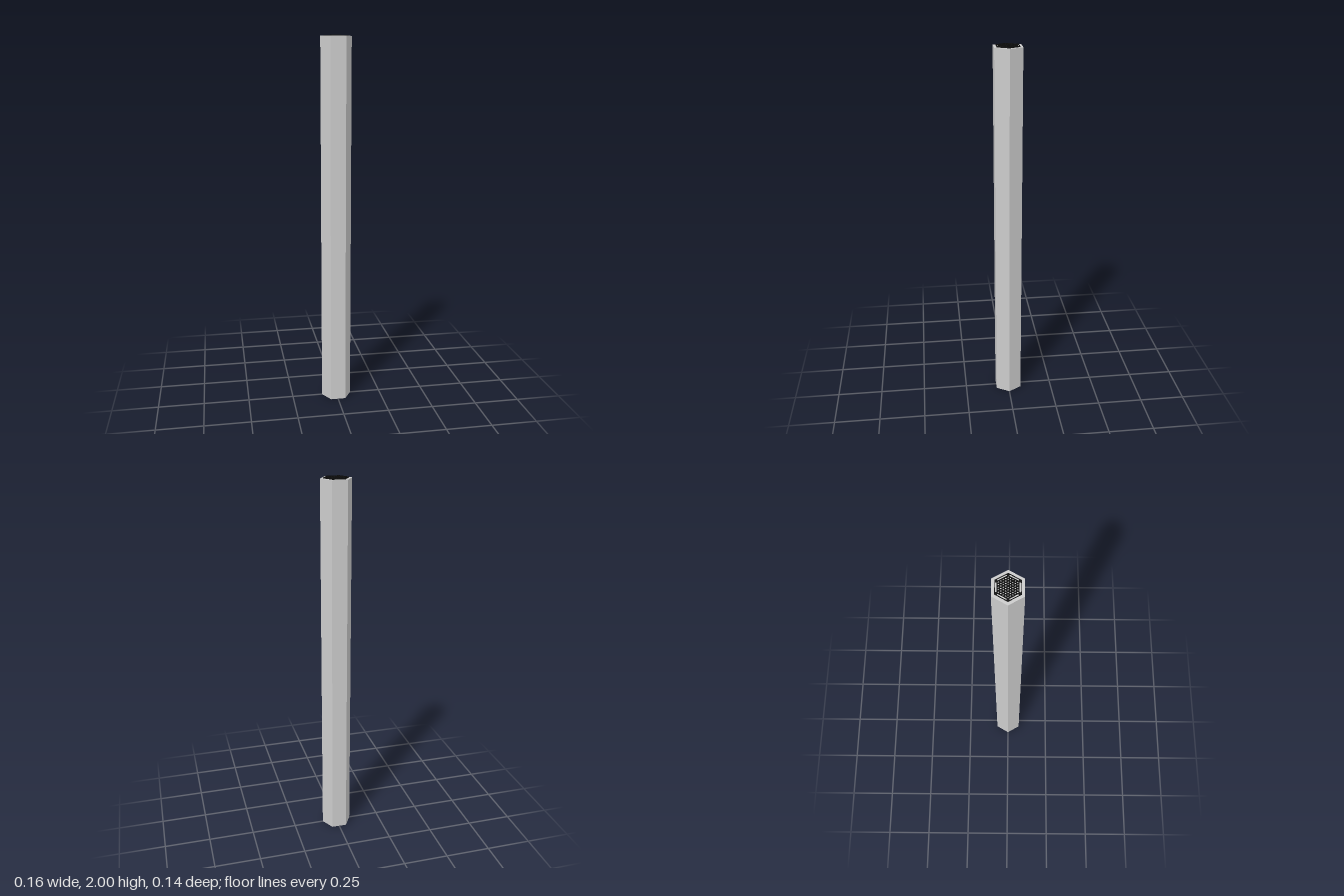
import * as THREE from 'three';

const HEIGHT = 2, PLATE = 0.004;
const OUTER_R = 0.082, PLATE_R = 0.066;
const PITCH = 0.0116, HOLE_R = 0.0034;
const SLOT_DIST = 0.051, SLOT_HALF = 0.02, SLOT_R = 0.0036;

// Hexagon outline with corners on the x axis
function hexagon(r) {
  const pts = [];
  for (let i = 0; i < 6; i++) {
    const a = i * Math.PI / 3;
    pts.push(new THREE.Vector2(r * Math.cos(a), r * Math.sin(a)));
  }
  return new THREE.Shape(pts);
}

// Round-ended slot parallel to the hexagon side facing angle a
function slot(a) {
  const path = new THREE.Path();
  const cx = SLOT_DIST * Math.cos(a), cy = SLOT_DIST * Math.sin(a);
  const tx = -Math.sin(a) * SLOT_HALF, ty = Math.cos(a) * SLOT_HALF;
  path.absarc(cx + tx, cy + ty, SLOT_R, a, a + Math.PI, false);
  path.absarc(cx - tx, cy - ty, SLOT_R, a + Math.PI, a + 2 * Math.PI, false);
  path.closePath();
  return path;
}

export function createModel() {
  const group = new THREE.Group();
  const grey = new THREE.MeshStandardMaterial({ color: 0xcccccc, flatShading: true, side: THREE.DoubleSide });
  const black = new THREE.MeshStandardMaterial({ color: 0x080808 });

  const add = (name, geometry, material, y) => {
    const mesh = new THREE.Mesh(geometry, material);
    mesh.name = name;
    mesh.position.y = y;
    group.add(mesh);
  };

  // Hexagonal column, open at the bottom
  const bodyH = HEIGHT - PLATE;
  const column = new THREE.CylinderGeometry(OUTER_R, OUTER_R, bodyH, 6, 1, true, Math.PI / 2);
  add('column', column, grey, bodyH / 2);

  // Top closing face, seen through the grille openings
  add('topCap', new THREE.ShapeGeometry(hexagon(OUTER_R)).rotateX(-Math.PI / 2), grey, bodyH);

  // Dark grille plate: a hexagonal field of round holes and a slot along each side
  const plate = hexagon(PLATE_R);
  for (let row = -4; row <= 4; row++) {
    const count = 9 - Math.abs(row);
    for (let i = 0; i < count; i++) {
      const x = (i - (count - 1) / 2) * PITCH;
      const y = row * PITCH * Math.sqrt(3) / 2;
      plate.holes.push(new THREE.Path().absarc(x, y, HOLE_R, 0, 2 * Math.PI, false));
    }
  }
  for (let i = 0; i < 6; i++) plate.holes.push(slot(Math.PI / 6 + i * Math.PI / 3));
  const grille = new THREE.ExtrudeGeometry(plate, { depth: PLATE, bevelEnabled: false, curveSegments: 8 });
  add('grillePlate', grille.rotateX(-Math.PI / 2), black, bodyH);

  return group;
}
